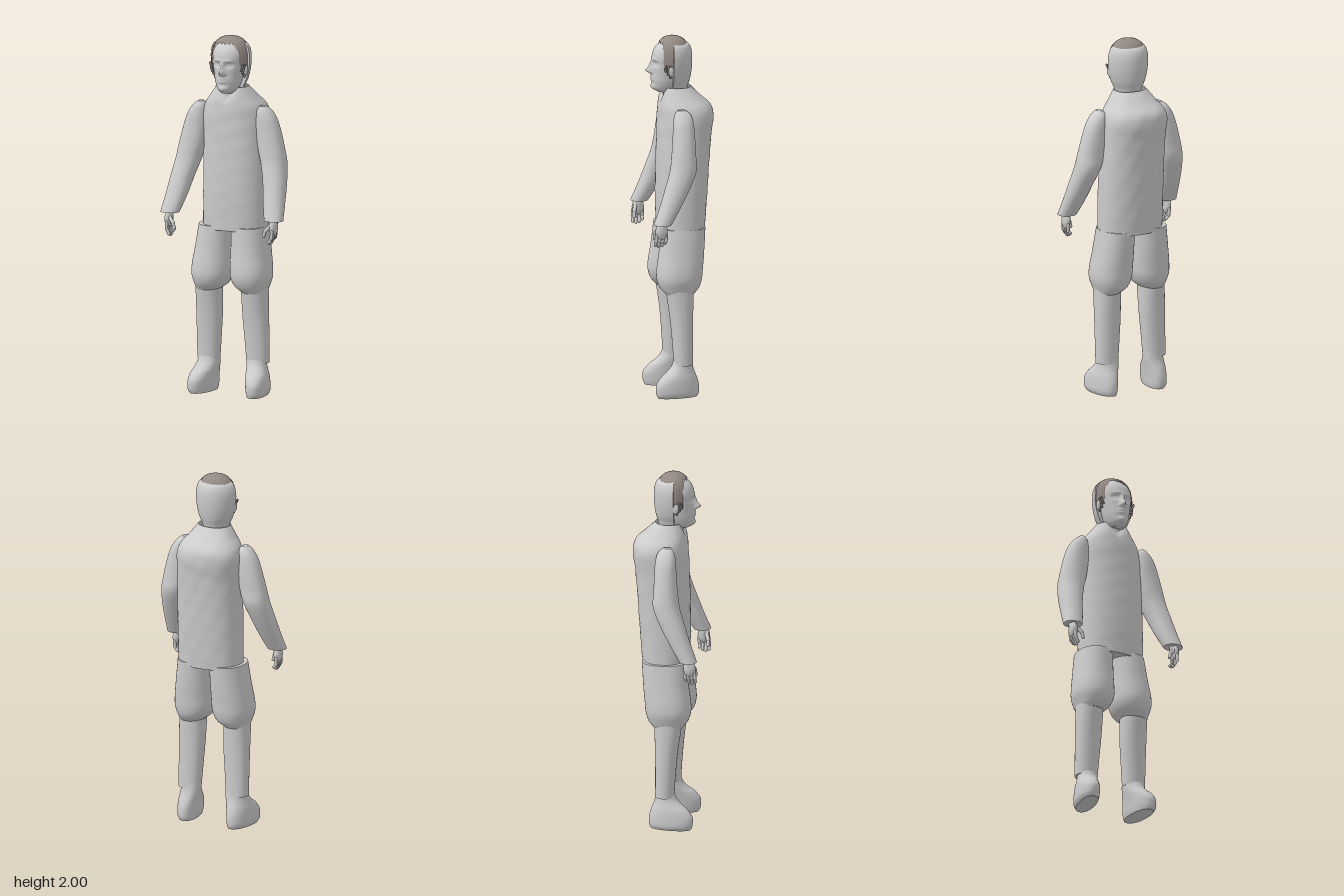
import * as THREE from 'three';

const skin = new THREE.MeshStandardMaterial({ color: 0xcbcbcb, side: THREE.DoubleSide });
skin.name = 'light grey';
const brown = new THREE.MeshStandardMaterial({ color: 0x948984, side: THREE.DoubleSide });
brown.name = 'hair brown';

// Smooth interpolation between rows of numbers
function sampleRow(rows, t) {
  const i = Math.min(Math.floor(t), rows.length - 2), f = t - i;
  const a = rows[Math.max(i - 1, 0)], b = rows[i], c = rows[i + 1], d = rows[Math.min(i + 2, rows.length - 1)];
  return b.map((_, k) => 0.5 * (2 * b[k] + (c[k] - a[k]) * f
    + (2 * a[k] - 5 * b[k] + 4 * c[k] - d[k]) * f * f
    + (3 * b[k] - a[k] - 3 * c[k] + d[k]) * f * f * f));
}

// Surface through closed horizontal rings, listed from bottom to top
function ringSurface(count, seg, point, capBottom, capTop) {
  const pos = [], index = [];
  for (let j = 0; j < count; j++)
    for (let i = 0; i < seg; i++) pos.push(...point(j / (count - 1), i / seg * Math.PI * 2));
  for (let j = 0; j < count - 1; j++)
    for (let i = 0; i < seg; i++) {
      const n = (i + 1) % seg, a = j * seg + i, b = j * seg + n;
      index.push(a, a + seg, b, b, a + seg, b + seg);
    }
  const cap = (row, top) => {
    const start = pos.length / 3, c = [0, 0, 0];
    for (let i = 0; i < seg; i++) {
      const p = pos.slice((row * seg + i) * 3, (row * seg + i) * 3 + 3);
      pos.push(...p);
      p.forEach((v, k) => { c[k] += v / seg; });
    }
    pos.push(...c);
    for (let i = 0; i < seg; i++) {
      const a = start + i, b = start + (i + 1) % seg;
      index.push(start + seg, top ? b : a, top ? a : b);
    }
  };
  if (capBottom) cap(0, false);
  if (capTop) cap(count - 1, true);
  const g = new THREE.BufferGeometry();
  g.setAttribute('position', new THREE.Float32BufferAttribute(pos, 3));
  g.setIndex(index);
  g.computeVertexNormals();
  return g;
}

// Rows are [y, xMin, xMax, zBack, zFront]; n sets how square the section is
function loft(rows, { side = 1, seg = 40, steps = 6, n = 2.2, warp, bottom = true, top = true } = {}) {
  const pw = (v) => Math.sign(v) * Math.abs(v) ** (2 / n);
  return ringSurface((rows.length - 1) * steps + 1, seg, (t, a) => {
    const [y, x0, x1, z0, z1] = sampleRow(rows, t * (rows.length - 1));
    const m = side * (x0 + x1) / 2;
    const p = [m + pw(Math.cos(a)) * (x1 - x0) / 2, y, (z0 + z1) / 2 + pw(Math.sin(a)) * (z1 - z0) / 2];
    return warp ? warp(p, t, a) : p;
  }, bottom, top);
}

function capsule(a, b, r) {
  const p = new THREE.Vector3(...a), q = new THREE.Vector3(...b);
  const g = new THREE.CapsuleGeometry(r, p.distanceTo(q), 5, 12);
  g.applyQuaternion(new THREE.Quaternion().setFromUnitVectors(new THREE.Vector3(0, 1, 0), q.clone().sub(p).normalize()));
  return g.translate(...p.add(q).multiplyScalar(0.5).toArray());
}

const bump = (x, y, cx, cy, sx, sy) => Math.exp(-(((x - cx) / sx) ** 2) - ((y - cy) / sy) ** 2);

export function createModel() {
  const model = new THREE.Group();
  model.name = 'figure';
  const add = (name, g, mat = skin, parent = model) => {
    const m = new THREE.Mesh(g, mat);
    m.name = name;
    parent.add(m);
    return m;
  };

  // Long jacket with a notched neckline
  add('jacket', loft([
    [0.92, -0.175, 0.195, -0.148, 0.11], [1.1, -0.175, 0.195, -0.162, 0.115], [1.3, -0.176, 0.192, -0.175, 0.112],
    [1.45, -0.178, 0.187, -0.188, 0.107], [1.55, -0.185, 0.185, -0.2, 0.103], [1.61, -0.17, 0.17, -0.188, 0.1],
    [1.66, -0.133, 0.133, -0.135, 0.093], [1.72, -0.09, 0.09, -0.075, 0.075],
  ], {
    seg: 72, n: 2.3, top: false, warp: ([x, y, z]) => {
      const wrinkle = 0.0015 * Math.sin(y * 47 + x * 21) * Math.sin(x * 39 - y * 13);
      const notch = z > 0 ? 0.055 * Math.max(0, 1 - Math.abs(x) / 0.06) * THREE.MathUtils.smoothstep(y, 1.6, 1.72) : 0;
      return [x, y - notch, z + wrinkle];
    },
  }));

  for (const side of [1, -1]) {
    const label = side > 0 ? 'left' : 'right';
    const o = { side };

    // Sleeve, bent forward at the elbow
    add(label + 'Sleeve', loft([
      [1.01, 0.262, 0.368, 0.095, 0.19], [1.1, 0.237, 0.357, 0.04, 0.155], [1.2, 0.215, 0.345, -0.015, 0.12],
      [1.3, 0.187, 0.33, -0.058, 0.088], [1.38, 0.165, 0.315, -0.058, 0.075], [1.48, 0.15, 0.29, -0.056, 0.065],
      [1.55, 0.15, 0.265, -0.052, 0.06], [1.595, 0.155, 0.235, -0.04, 0.05], [1.62, 0.172, 0.205, -0.012, 0.033],
    ], o));

    // Hand with curled fingers and a thumb
    const hand = new THREE.Group();
    hand.name = label + 'Hand';
    model.add(hand);
    const palm = new THREE.SphereGeometry(1, 20, 14).scale(0.022, 0.048, 0.034).translate(side * 0.318, 0.972, 0.15);
    add('palm', palm, skin, hand);
    add('wrist', capsule([side * 0.315, 1.04, 0.14], [side * 0.317, 0.98, 0.148], 0.023), skin, hand);
    for (let i = 0; i < 4; i++) {
      const z = 0.123 + i * 0.018, tip = [0.902, 0.89, 0.885, 0.892][i];
      add('fingerBase', capsule([side * 0.32, 0.955, z], [side * 0.318, 0.918, z + 0.003], 0.0095), skin, hand);
      add('fingerTip', capsule([side * 0.318, 0.918, z + 0.003], [side * 0.303, tip, z + 0.004], 0.0085), skin, hand);
    }
    add('thumbBase', capsule([side * 0.308, 0.985, 0.165], [side * 0.28, 0.955, 0.178], 0.011), skin, hand);
    add('thumbTip', capsule([side * 0.28, 0.955, 0.178], [side * 0.271, 0.925, 0.18], 0.0095), skin, hand);

    // Baggy breeches leg
    add(label + 'Breeches', loft([
      [0.575, 0.075, 0.203, -0.068, 0.088], [0.61, 0.03, 0.216, -0.1, 0.118], [0.66, 0.006, 0.23, -0.116, 0.134],
      [0.72, 0.002, 0.228, -0.122, 0.132], [0.8, 0.002, 0.216, -0.13, 0.12], [0.94, 0, 0.196, -0.14, 0.106],
    ], o));

    // Lower leg
    add(label + 'LowerLeg', loft([
      [0.18, 0.085, 0.213, -0.06, 0.045], [0.3, 0.076, 0.214, -0.06, 0.052],
      [0.45, 0.066, 0.214, -0.062, 0.066], [0.62, 0.064, 0.212, -0.068, 0.092],
    ], o));

    // Boot, toe turned slightly outwards
    add(label + 'Boot', loft([
      [0, 0.11, 0.21, -0.085, 0.14], [0.025, 0.104, 0.222, -0.094, 0.15], [0.07, 0.1, 0.222, -0.093, 0.15],
      [0.11, 0.095, 0.218, -0.082, 0.122], [0.14, 0.09, 0.21, -0.07, 0.085], [0.17, 0.087, 0.203, -0.062, 0.058],
      [0.21, 0.088, 0.2, -0.058, 0.042],
    ], { side, warp: ([x, y, z]) => [x + side * 0.12 * z, y, z] }));

    // Ear and the lock of hair in front of it
    const ear = new THREE.SphereGeometry(1, 16, 12).scale(0.013, 0.032, 0.02);
    add(label + 'Ear', ear.rotateY(side * 0.4).translate(side * 0.098, 1.82, 0.045));
    for (let i = 0; i < 3; i++)
      add(label + 'HairLock', capsule([side * 0.101, 1.85, 0.05 + i * 0.015], [side * (0.094 - i * 0.003), 1.785 + i * 0.018, 0.052 + i * 0.014], 0.006), brown);
  }

  // Neck
  add('neck', loft([
    [1.6, -0.08, 0.08, -0.06, 0.06], [1.66, -0.066, 0.066, -0.055, 0.07], [1.72, -0.062, 0.062, -0.05, 0.075],
    [1.78, -0.06, 0.06, -0.05, 0.08],
  ]));

  // Head with modelled face
  add('head', loft([
    [1.69, -0.035, 0.035, 0, 0.105], [1.71, -0.053, 0.053, -0.02, 0.13], [1.75, -0.07, 0.07, -0.04, 0.137],
    [1.8, -0.08, 0.08, -0.05, 0.136], [1.85, -0.088, 0.088, -0.055, 0.135], [1.9, -0.09, 0.09, -0.055, 0.134],
    [1.94, -0.081, 0.081, -0.05, 0.116], [1.975, -0.055, 0.055, -0.03, 0.074], [1.99, -0.02, 0.02, 0, 0.04],
  ], {
    seg: 112, steps: 10, n: 2.15, warp: ([x, y, z]) => {
      if (z < 0.05) return [x, y, z];
      const ax = Math.abs(x);
      const d = 0.036 * bump(x, y, 0, 1.812, 0.014, 0.018) + 0.016 * bump(x, y, 0, 1.845, 0.01, 0.025)
        + 0.008 * bump(ax, y, 0.016, 1.803, 0.008, 0.01) - 0.014 * bump(ax, y, 0.036, 1.853, 0.02, 0.013)
        + 0.007 * bump(ax, y, 0.036, 1.852, 0.012, 0.007) + 0.006 * bump(ax, y, 0.03, 1.877, 0.026, 0.009)
        + 0.012 * bump(x, y, 0, 1.768, 0.026, 0.014) - 0.009 * bump(x, y, 0, 1.768, 0.024, 0.004)
        + 0.012 * bump(x, y, 0, 1.718, 0.026, 0.016);
      return [x, y, z + d];
    },
  }));

  // Smooth half shell around the back of the head
  const shell = [[1.69, 0.07, 0.09], [1.73, 0.082, 0.1], [1.77, 0.1, 0.112], [1.83, 0.114, 0.12],
    [1.89, 0.118, 0.121], [1.93, 0.112, 0.115], [1.955, 0.1, 0.102], [1.968, 0.08, 0.08]];
  add('backOfHead', ringSurface(43, 64, (t, a) => {
    const [y, rx, rz] = sampleRow(shell, t * (shell.length - 1));
    return [rx * Math.cos(a), y, 0.035 + rz * Math.min(0, Math.sin(a))];
  }, true, true));

  // Hair: domed cap, long at the temples, open over the face and short behind
  const ss = THREE.MathUtils.smoothstep;
  add('hair', ringSurface(25, 180, (t, a) => {
    const s = Math.sin(a);
    const temple = ss(s, 0.06, 0.16) * (1 - ss(s, 0.62, 0.85));
    const low = (s > 0.4 ? 1.965 : 1.945) - temple * 0.12 + 0.005 * Math.sin(a * 23);
    const y = low + (2 - low) * Math.sin(t * Math.PI / 2);
    const u = Math.max(0, (y - 1.87) / 0.13);
    const r = Math.max(0, 1 - u ** 2.5) ** 0.4 * (1 + 0.012 * Math.sin(a * 36));
    return [0.109 * r * Math.cos(a), y, 0.022 + 0.096 * r * s];
  }), brown);

  return model;
}
